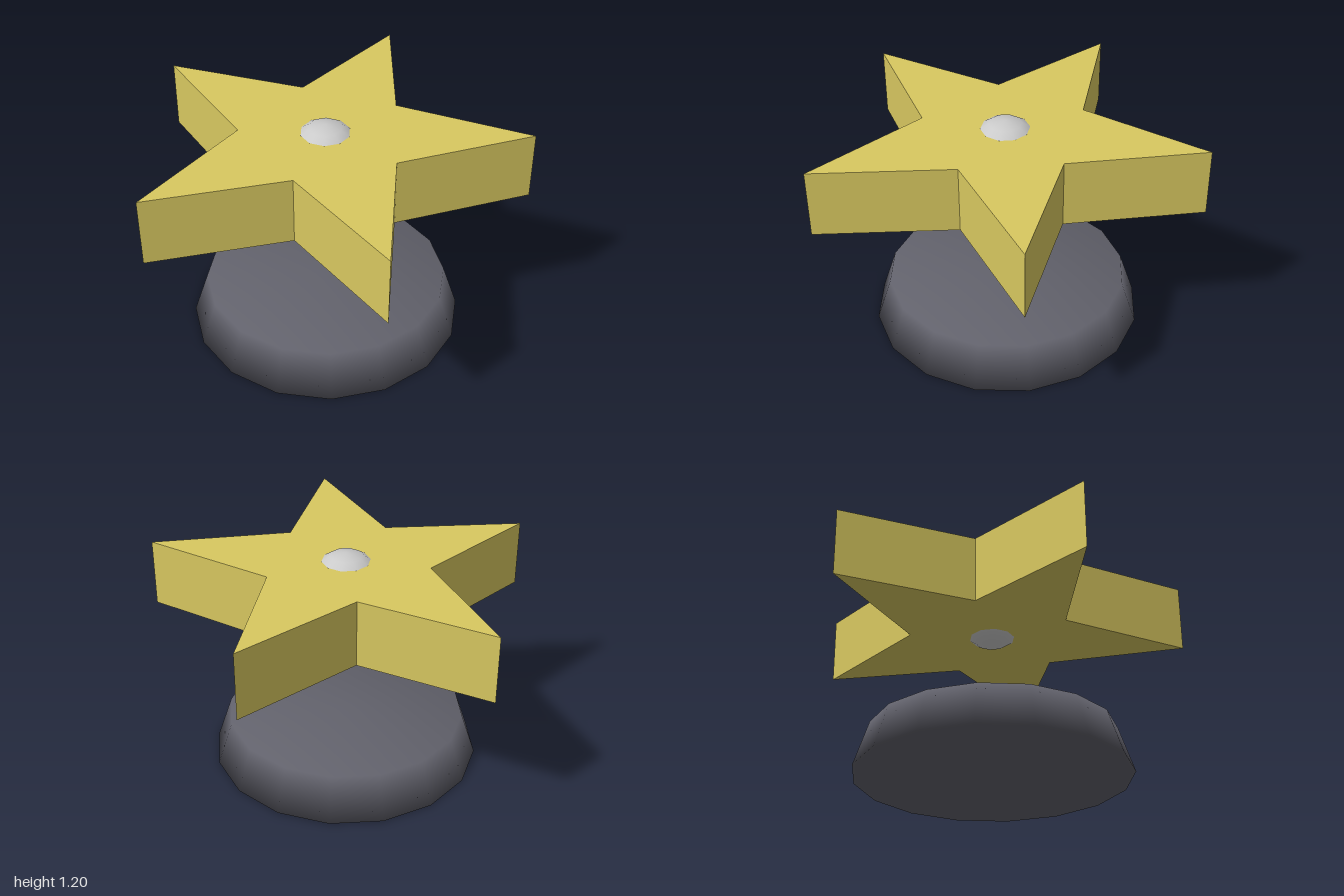
import * as THREE from 'three';

const CENTER_Z = 0.1;

function addPart(group, name, geometry, color, y) {
  const mesh = new THREE.Mesh(geometry, new THREE.MeshStandardMaterial({ color }));
  mesh.name = name;
  mesh.position.set(0, y, CENTER_Z);
  group.add(mesh);
  return mesh;
}

// Five-pointed outline, one tip along +y of the shape
function starShape(outer, inner) {
  const points = [];
  for (let i = 0; i < 10; i++) {
    const r = i % 2 ? inner : outer;
    const a = Math.PI / 2 + (i * Math.PI) / 5;
    points.push(new THREE.Vector2(r * Math.cos(a), r * Math.sin(a)));
  }
  return new THREE.Shape(points);
}

export function createModel() {
  const group = new THREE.Group();
  group.name = 'starOnPedestal';

  // Tapered base, shaded smoothly over its rims
  const profile = [[0, 0], [0.725, 0], [0.645, 0.24], [0, 0.24]]
    .map(([x, y]) => new THREE.Vector2(x, y));
  addPart(group, 'base', new THREE.LatheGeometry(profile, 16), 0x62626c, 0);

  // Thick star lying flat, with one tip pointing to the back
  const star = new THREE.ExtrudeGeometry(starShape(1.05, 0.44), { depth: 0.365, bevelEnabled: false });
  star.rotateX(-Math.PI / 2);
  addPart(group, 'star', star, 0xd8c860, 0.79);

  // Ball through the middle of the star
  addPart(group, 'centerBall', new THREE.SphereGeometry(0.225, 10, 8), 0xcccccc, 0.975);

  return group;
}
